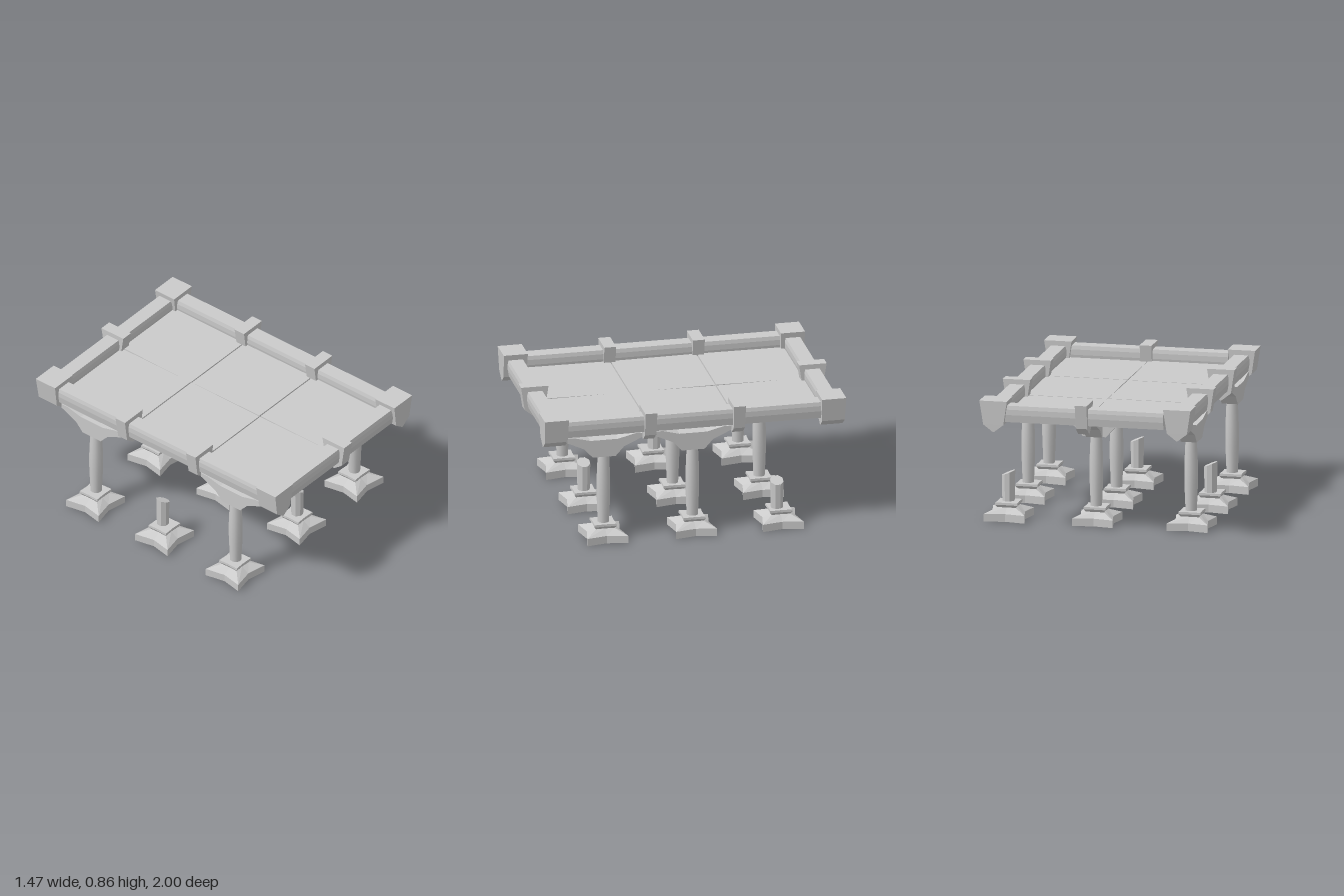
import * as THREE from 'three';

const stone = new THREE.MeshStandardMaterial({ color: 0xcacaca });
stone.name = 'pale grey stone';

// Closed solid through rings of [x, y, z] points, listed from the underside to the top
function loft(rings) {
  const n = rings[0].length, pos = [], tri = (a, b, c) => pos.push(...a, ...b, ...c);
  const centre = (r) => [0, 1, 2].map((k) => r.reduce((s, p) => s + p[k], 0) / n);
  for (let j = 0; j < rings.length - 1; j++) {
    for (let i = 0; i < n; i++) {
      const k = (i + 1) % n, lo = rings[j], hi = rings[j + 1];
      tri(lo[i], hi[i], lo[k]);
      tri(lo[k], hi[i], hi[k]);
    }
  }
  const first = rings[0], last = rings[rings.length - 1], cb = centre(first), ct = centre(last);
  for (let i = 0; i < n; i++) {
    const k = (i + 1) % n;
    tri(cb, first[i], first[k]);
    tri(ct, last[k], last[i]);
  }
  const g = new THREE.BufferGeometry();
  g.setAttribute('position', new THREE.Float32BufferAttribute(pos, 3));
  g.computeVertexNormals();
  return g;
}

const rect = (y, hx, hz) => [[hx, y, hz], [-hx, y, hz], [-hx, y, -hz], [hx, y, -hz]];

// Square ring whose sides are pinched inward at the middle
function pinched(y, h, pinch) {
  const m = h * pinch;
  return [[h, y, h], [0, y, m], [-h, y, h], [-m, y, 0], [-h, y, -h], [0, y, -m], [h, y, -h], [m, y, 0]];
}

// Outline extruded along z, centred on it
function extrude(points, length) {
  const g = new THREE.ExtrudeGeometry(
    new THREE.Shape(points.map(([x, y]) => new THREE.Vector2(x, y))),
    { depth: length, bevelEnabled: false });
  return g.translate(0, 0, -length / 2);
}

// Flared foot, hollowed a little from below
const footGeo = loft([
  pinched(0.035, 0.05, 1),
  pinched(0, 0.115, 0.82),
  pinched(0, 0.134, 0.8),
  pinched(0.05, 0.134, 0.8),
  pinched(0.083, 0.06, 0.95),
  pinched(0.1, 0.073, 0.95),
  pinched(0.115, 0.072, 0.95),
]);

// Swelling shaft
const shaftGeo = new THREE.LatheGeometry(
  [[0.037, 0.11], [0.041, 0.2], [0.045, 0.3], [0.045, 0.4], [0.041, 0.5], [0.037, 0.58]]
    .map(([r, y]) => new THREE.Vector2(r, y)), 12);

// Stump with a slanted break
const stumpGeo = loft([[0.11, 0.04, 0], [0.298, 0.044, -0.42]].map(([y, r, slope]) =>
  Array.from({ length: 8 }, (_, i) => {
    const a = ((i + 0.5) / 8) * Math.PI * 2, x = r * Math.cos(a);
    return [x, y + slope * x, r * Math.sin(a)];
  })));

// Two-armed bracket, arms along x
const half = [[0.075, 0.574], [0.13, 0.635], [0.25, 0.69], [0.25, 0.718], [0.2, 0.718], [0.09, 0.69]];
const bracketGeo = extrude([...half, ...half.map(([x, y]) => [-x, y]).reverse()], 0.106);

// Rail cross-section
const railOutline = [[-0.045, 0.717], [0.045, 0.717], [0.053, 0.765], [0.053, 0.8], [0.047, 0.825],
  [-0.047, 0.825], [-0.053, 0.8], [-0.053, 0.765]];

// Tapered clamp block with a ridge below, ridge along z
const block = (hz) => loft([
  rect(0.654, 0.004, hz * 0.92), rect(0.702, 0.066, hz * 0.94), rect(0.857, 0.09, hz),
]);

export function createModel() {
  const model = new THREE.Group();
  model.name = 'pillaredPlatform';
  const add = (parent, name, geo, x = 0, y = 0, z = 0, turn = 0) => {
    const m = new THREE.Mesh(geo, stone);
    m.name = name;
    m.position.set(x, y, z);
    m.rotation.y = turn;
    parent.add(m);
    return m;
  };
  const quarter = Math.PI / 2;

  // Nine columns, three of them broken
  const broken = ['1,2', '0,1', '2,0'];
  [-0.595, 0.027, 0.606].forEach((x, i) => {
    [-0.567, 0, 0.582].forEach((z, j) => {
      const isBroken = broken.includes(`${i},${j}`);
      const column = new THREE.Group();
      column.name = isBroken ? 'brokenColumn' : 'column';
      column.position.set(x, 0, z);
      model.add(column);
      add(column, 'foot', footGeo, -0.005);
      if (isBroken) {
        const away = j === 1 ? -0.018 : j === 0 ? 0.014 : 0;
        add(column, 'stump', stumpGeo, 0, 0, away);
        return;
      }
      add(column, 'shaft', shaftGeo);
      add(column, 'bracketLengthwise', bracketGeo, 0, 0, 0.006, quarter);
      if (i === 1) add(column, 'bracketCrosswise', bracketGeo);
    });
  });

  // Deck of six slabs, a few slightly sunken
  const seamsZ = [-0.86, -0.285, 0.28, 0.86];
  [[-0.56, 0.018], [0.022, 0.56]].forEach(([x0, x1], i) => {
    for (let j = 0; j < 3; j++) {
      const z0 = seamsZ[j] + 0.004, z1 = seamsZ[j + 1] - 0.004;
      const slab = add(model, 'deckSlab', new THREE.BoxGeometry(x1 - x0, 0.03, z1 - z0),
        (x0 + x1) / 2, 0.734, (z0 + z1) / 2);
      slab.rotation.x = ((i + j) % 2 ? 1 : -1) * 0.006;
    }
  });

  // Rails
  const sideRail = extrude(railOutline, 1.72), endRail = extrude(railOutline, 1.04);
  for (const s of [-1, 1]) {
    add(model, 'sideRail', sideRail, s * 0.6 + 0.003, 0, 0);
    add(model, 'endRail', endRail, 0.017, 0, s * 0.907, quarter);
  }

  // Blocks at the corners and along the rails
  const cornerBlock = block(0.079), midBlock = block(0.039);
  for (const s of [-1, 1]) {
    const x = s * 0.602 + 0.004;
    for (const z of [-0.909, 0.905]) add(model, 'cornerBlock', cornerBlock, x, 0, z);
    for (const z of [-0.293, 0.287]) add(model, 'sideBlock', midBlock, x, 0, z);
    add(model, 'endBlock', midBlock, 0.029, 0, s * 0.91, quarter);
  }
  return model;
}
